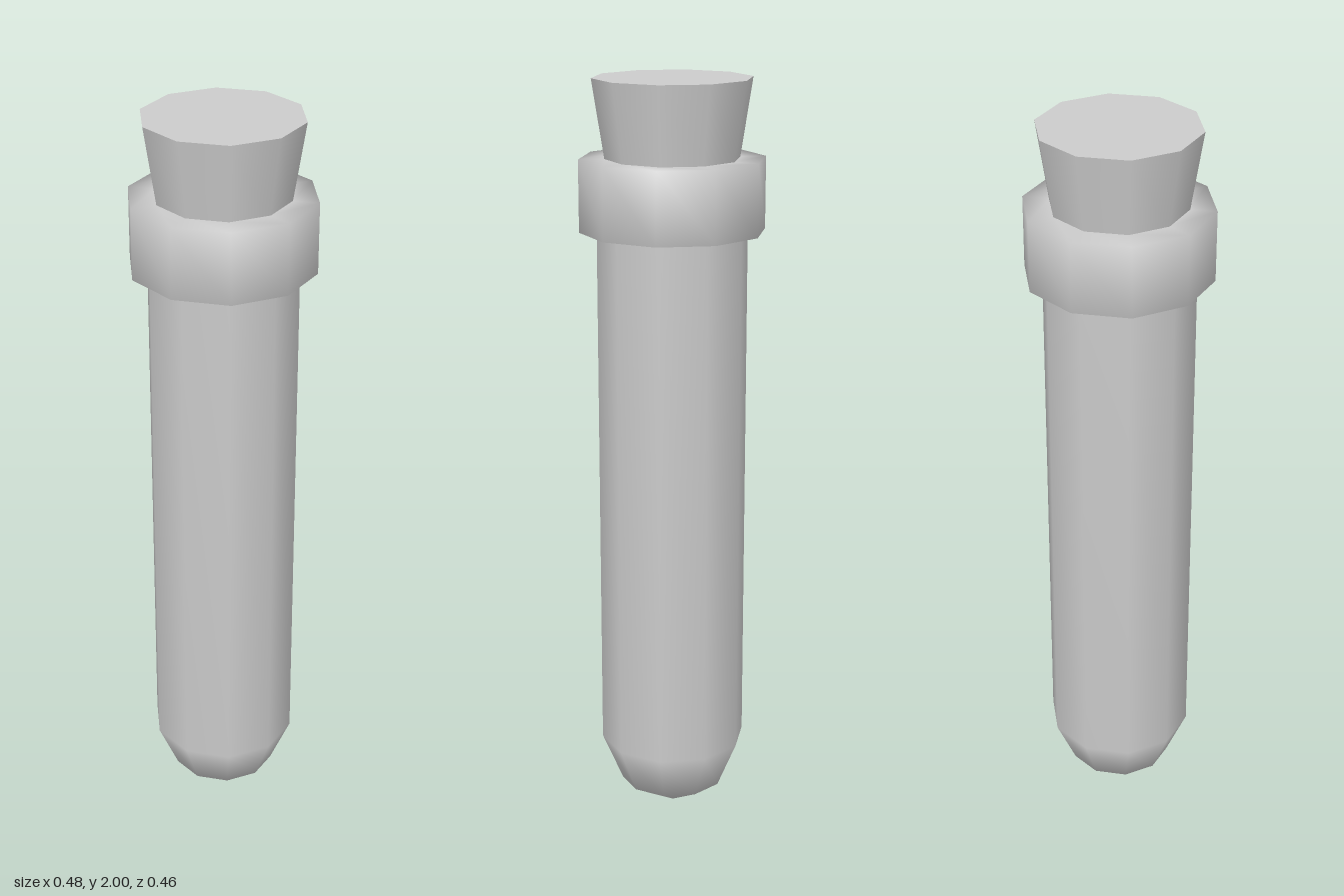
import * as THREE from 'three';

const SIDES = 10;

// Revolve a [radius, height] profile, listed bottom to top, with a corner on the x axis
function turned(name, profile, material) {
  const points = profile.map(([r, y]) => new THREE.Vector2(r, y));
  const mesh = new THREE.Mesh(new THREE.LatheGeometry(points, SIDES, Math.PI / 2), material);
  mesh.name = name;
  return mesh;
}

export function createModel() {
  const model = new THREE.Group();
  model.name = 'stopperedTube';
  const grey = new THREE.MeshStandardMaterial({ color: 0xcccccc });

  // Long tube with a rounded, pointed bottom
  model.add(turned('tube', [[0, 0], [0.14, 0.08], [0.195, 0.21], [0.195, 1.62]], grey));

  // Wide collar around the mouth, reaching in to the stopper
  model.add(turned('collar', [[0.19, 1.615], [0.24, 1.615], [0.24, 1.8], [0.17, 1.8]], grey));

  // Flared stopper, with a separate flat top so its rim stays sharp
  const stopper = new THREE.Group();
  stopper.name = 'stopper';
  stopper.add(turned('stopperSide', [[0.172, 1.79], [0.205, 2]], grey));
  stopper.add(turned('stopperTop', [[0.205, 2], [0, 2]], grey));
  model.add(stopper);

  return model;
}
